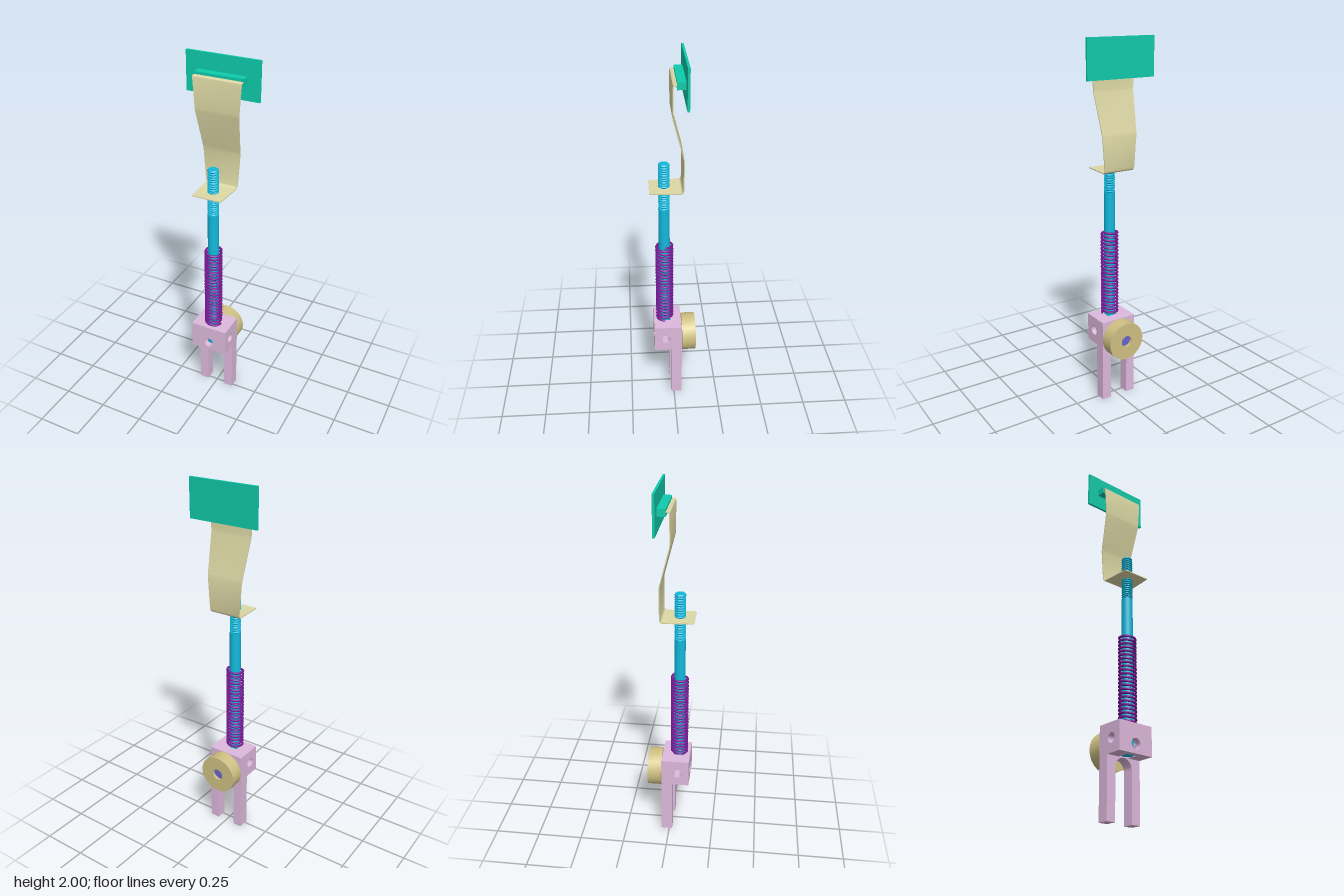
import * as THREE from 'three';
import { toCreasedNormals } from 'three/addons/utils/BufferGeometryUtils.js';

const TEAL = 0x0fcaab, SAND = 0xddd8a5, BRASS = 0xcfc083, CYAN = 0x12b9dc;
const PURPLE = 0x7a1a9a, PINK = 0xddb9dc, VIOLET = 0x6a63d0;
const ROD_Z = 0.047, ROD_R = 0.03;

export function createModel() {
  const group = new THREE.Group();

  const add = (name, geometry, color, x = 0, y = 0, z = 0) => {
    const mesh = new THREE.Mesh(geometry, new THREE.MeshStandardMaterial({ color }));
    mesh.name = name;
    mesh.position.set(x, y, z);
    group.add(mesh);
    return mesh;
  };
  // box given by its extents
  const box = (name, color, x0, x1, y0, y1, z0, z1) =>
    add(name, new THREE.BoxGeometry(x1 - x0, y1 - y0, z1 - z0), color,
      (x0 + x1) / 2, (y0 + y1) / 2, (z0 + z1) / 2);
  const lathe = (points, segments) => toCreasedNormals(
    new THREE.LatheGeometry(points.map(([r, y]) => new THREE.Vector2(r, y)), segments), 0.5);
  // rectangle with a round hole, extruded along z
  const drilledPanel = (x0, x1, y0, y1, hx, hy, hr, depth) => {
    const s = new THREE.Shape();
    s.moveTo(x0, y0).lineTo(x1, y0).lineTo(x1, y1).lineTo(x0, y1).closePath();
    s.holes.push(new THREE.Path().absarc(hx, hy, hr, 0, Math.PI * 2, true));
    return new THREE.ExtrudeGeometry(s, { depth, bevelEnabled: false, curveSegments: 24 });
  };

  // pad at the top and the bar holding the strap
  box('pad', TEAL, -0.198, 0.198, 1.795, 2, -0.066, -0.054);
  box('padBar', TEAL, -0.131, 0.131, 1.878, 1.915, -0.054, -0.011);

  // bent strap: thin ribbon profile in (z, y), narrowing towards its foot
  const line = [
    [-0.012, 1.899], [0.001, 1.899], [0.006, 1.896], [0.0075, 1.889], [0.0075, 1.74], [0.006, 1.725],
    [-0.046, 1.525], [-0.05, 1.505], [-0.05, 1.335], [-0.047, 1.325], [-0.041, 1.319],
    [-0.032, 1.317], [0.125, 1.317],
  ].map(([z, y]) => new THREE.Vector2(z, y));
  const offset = (d) => line.map((p, i) => {
    const a = line[Math.max(i - 1, 0)], b = line[Math.min(i + 1, line.length - 1)];
    const t = b.clone().sub(a).normalize();
    return new THREE.Vector2(p.x - t.y * d, p.y + t.x * d);
  });
  const strap = new THREE.ExtrudeGeometry(
    new THREE.Shape([...offset(0.0025), ...offset(-0.0025).reverse()]),
    { depth: 2, bevelEnabled: false });
  strap.translate(0, 0, -1).rotateY(-Math.PI / 2);
  const p = strap.attributes.position;
  for (let i = 0; i < p.count; i++) {
    const y = p.getY(i), z = p.getZ(i);
    const foot = y < 1.33 ? Math.max(0, z + 0.05) * 0.06 : 0;
    p.setX(i, p.getX(i) * (0.131 - (1.9 - y) * 0.0707 - foot));
  }
  strap.computeVertexNormals();
  add('strap', toCreasedNormals(strap, 0.45), SAND);

  // rod with a smooth shank and a threaded end
  add('rod', new THREE.CylinderGeometry(ROD_R, ROD_R, 0.865, 32), CYAN, 0, 0.325 + 0.865 / 2, ROD_Z);
  const thread = [[0, 1.188]];
  const turns = 20, pitch = 0.26 / turns;
  for (let i = 0; i < turns; i++) {
    const y = 1.188 + i * pitch;
    thread.push([0.024, y], [0.0295, y + pitch * 0.35], [0.0295, y + pitch * 0.65]);
  }
  thread.push([0.025, 1.45], [0, 1.45]);
  add('rodThread', lathe(thread, 28), CYAN, 0, 0, ROD_Z);

  // coil spring around the rod
  class Helix extends THREE.Curve {
    getPoint(t, target = new THREE.Vector3()) {
      const a = t * 23 * Math.PI * 2;
      return target.set(Math.cos(a) * 0.043, 0.484 + t * 0.486, Math.sin(a) * 0.043);
    }
  }
  const helix = new Helix();
  helix.arcLengthDivisions = 1200;
  add('spring', new THREE.TubeGeometry(helix, 640, 0.0065, 8), PURPLE, 0, 0, ROD_Z);

  // fork: back of the block with two legs and an arched gap
  const fork = new THREE.Shape();
  fork.moveTo(-0.105, 0).lineTo(-0.053, 0).lineTo(-0.053, 0.267);
  fork.absarc(0, 0.267, 0.053, Math.PI, 0, true);
  fork.lineTo(0.053, 0).lineTo(0.105, 0).lineTo(0.105, 0.478).lineTo(-0.105, 0.478).closePath();
  add('fork', new THREE.ExtrudeGeometry(fork, { depth: 0.061, bevelEnabled: false, curveSegments: 20 }),
    PINK, 0, 0, -0.045);

  // drilled block around the rod: front panel and two cheeks
  add('blockFront', drilledPanel(-0.105, 0.105, 0.322, 0.478, 0, 0.372, 0.029, 0.033), PINK, 0, 0, 0.077);
  for (const side of [-1, 1]) {
    const cheek = drilledPanel(-0.077, -0.016, 0.322, 0.478, -ROD_Z, 0.398, 0.026, 0.075);
    cheek.rotateY(Math.PI / 2);
    add(side > 0 ? 'leftCheek' : 'rightCheek', cheek, PINK, side > 0 ? 0.03 : -0.105, 0, 0);
  }

  // roller at the back with its recessed axle
  const roller = lathe([[0.032, 0], [0.107, 0], [0.107, 0.077], [0.032, 0.077], [0.032, 0]], 24);
  roller.rotateX(-Math.PI / 2);
  add('roller', roller, BRASS, 0, 0.372, -0.048);
  const axle = new THREE.CylinderGeometry(0.032, 0.032, 0.1, 24).rotateX(Math.PI / 2);
  add('axle', axle, VIOLET, 0, 0.372, -0.06);

  return group;
}
